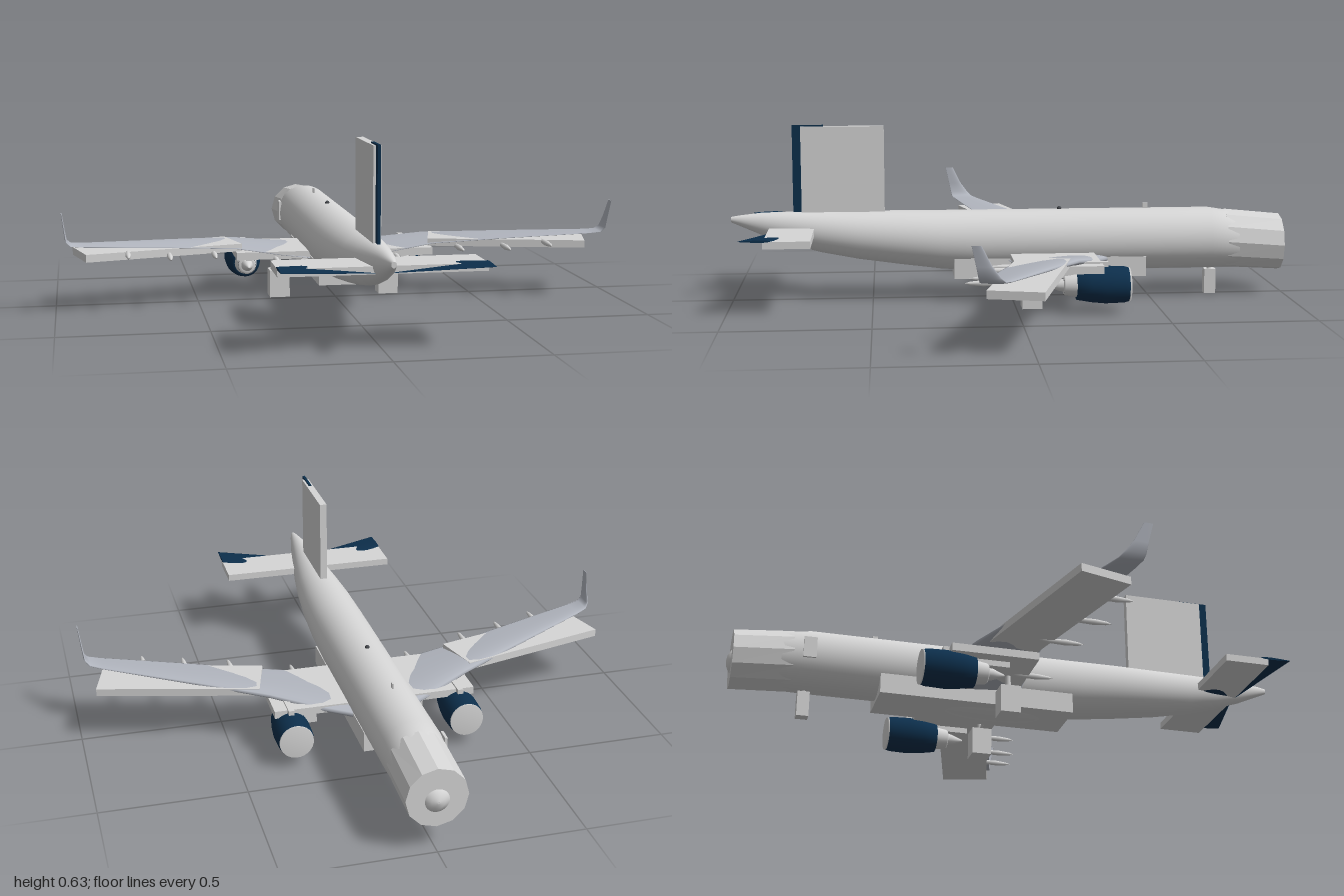
import * as THREE from 'three';

const mat = (name, color) => Object.assign(new THREE.MeshStandardMaterial({ color }), { name });

export function createModel() {
  const body = mat('light grey', 0xd6d6d6);
  const wingGrey = mat('wing grey', 0xb2b6bf);
  const navy = mat('navy', 0x0d2f4c);
  const dark = mat('dark grey', 0x45484d);
  const model = new THREE.Group();
  model.name = 'airliner';

  const add = (name, geo, material, x = 0, y = 0, z = 0) => {
    const m = new THREE.Mesh(geo, material);
    m.name = name;
    m.position.set(x, y, z);
    model.add(m);
    return m;
  };
  // Box given by its extents
  const box = (name, material, [x0, x1], [y0, y1], [z0, z1]) =>
    add(name, new THREE.BoxGeometry(Math.abs(x1 - x0), y1 - y0, z1 - z0), material,
      (x0 + x1) / 2, (y0 + y1) / 2, (z0 + z1) / 2);
  // Rod between two points
  const rod = (name, material, a, b, r) => {
    const p = new THREE.Vector3(...a), q = new THREE.Vector3(...b), d = q.clone().sub(p);
    const m = add(name, new THREE.CylinderGeometry(r, r, d.length(), 10), material);
    m.position.copy(p.add(q).multiplyScalar(0.5));
    m.quaternion.setFromUnitVectors(new THREE.Vector3(0, 1, 0), d.normalize());
  };
  // Skin over rings of points, with closed ends and outward faces
  const loft = (rings, flat = false) => {
    const n = rings[0].length, pos = rings.flat(2), idx = [];
    for (let i = 0; i < rings.length - 1; i++)
      for (let j = 0; j < n; j++) {
        const k = (j + 1) % n, a = i * n + j, b = i * n + k;
        idx.push(a, b, a + n, b, b + n, a + n);
      }
    const ends = [[rings[0], -1], [rings[rings.length - 1], 1]];
    for (const [ring, s] of ends) {
      const base = pos.length / 3;
      pos.push(...ring.flat());
      for (let j = 1; j < n - 1; j++)
        idx.push(base, ...(s > 0 ? [base + j, base + j + 1] : [base + j + 1, base + j]));
    }
    const v = (i) => new THREE.Vector3().fromArray(pos, i * 3);
    let volume = 0;
    for (let i = 0; i < idx.length; i += 3)
      volume += v(idx[i]).dot(v(idx[i + 1]).cross(v(idx[i + 2])));
    if (volume < 0) idx.reverse();
    let g = new THREE.BufferGeometry();
    g.setAttribute('position', new THREE.Float32BufferAttribute(pos, 3));
    g.setIndex(idx);
    if (flat) g = g.toNonIndexed();
    g.computeVertexNormals();
    return g;
  };
  const oval = (n) => ([z, y, rx, ry]) => Array.from({ length: n }, (_, i) => {
    const t = (i / n) * Math.PI * 2;
    return [Math.sin(t) * rx, y + Math.cos(t) * ry, z];
  });
  // Wing section: spanwise x, height, leading and trailing z, half thickness, lean of the normal
  const airfoil = (side) => ([x, y, z0, z1, h, lean = 0]) => Array.from({ length: 20 }, (_, i) => {
    const t = (i / 20) * Math.PI * 2, u = (1 - Math.cos(t)) / 2;
    const d = Math.sin(t) * h * (1.25 - u);
    return [side * (x - Math.sin(lean) * d), y + Math.cos(lean) * d, z0 + (z1 - z0) * u];
  });
  // Round body along z from [z, radius] points
  const turned = (pts, seg = 32) =>
    new THREE.LatheGeometry(pts.map(([z, r]) => new THREE.Vector2(r, z)), seg).rotateX(Math.PI / 2);

  // Fuselage, with the nose at -z
  add('fuselage', loft([
    [-1, 0.178, 0.004, 0.004], [-0.996, 0.178, 0.022, 0.022], [-0.984, 0.178, 0.042, 0.042],
    [-0.95, 0.181, 0.062, 0.06], [-0.9, 0.188, 0.082, 0.082], [-0.82, 0.2, 0.1, 0.102],
    [-0.72, 0.207, 0.105, 0.111], [-0.3, 0.207, 0.105, 0.111], [0.1, 0.207, 0.105, 0.111],
    [0.25, 0.212, 0.103, 0.106], [0.4, 0.222, 0.097, 0.097], [0.55, 0.232, 0.085, 0.086],
    [0.68, 0.245, 0.068, 0.074], [0.79, 0.26, 0.05, 0.059], [0.89, 0.276, 0.033, 0.041],
    [0.97, 0.289, 0.016, 0.019], [1, 0.293, 0.008, 0.01],
  ].map(oval(40))), body);
  add('noseSleeve', loft([[-0.78, 0.204, 0.103, 0.107], [-0.985, 0.188, 0.103, 0.103]].map(oval(12)), true), body);
  box('bellyFairing', body, [-0.095, 0.095], [0.083, 0.155], [-0.48, 0.21]);
  add('bellyBulge', new THREE.SphereGeometry(1, 28, 16).scale(0.085, 0.05, 0.26), body, 0, 0.12, -0.06);
  box('door', body, [-0.109, -0.1], [0.18, 0.255], [-0.75, -0.705]);
  box('antenna', body, [-0.003, 0.003], [0.31, 0.336], [-0.498, -0.48]);
  add('beacon', new THREE.SphereGeometry(0.008, 12, 8), dark, 0, 0.32, -0.175);

  // Fin and rudder
  box('fin', body, [-0.013, 0.013], [0.28, 0.624], [0.455, 0.75]);
  box('rudder', navy, [-0.005, 0.005], [0.3, 0.629], [0.67, 0.78]);

  // Nose gear
  box('noseGear', body, [-0.018, 0.018], [0, 0.09], [-0.752, -0.71]);
  rod('noseGearLeg', body, [0, 0.08, -0.73], [0, 0.14, -0.73], 0.009);

  for (const s of [1, -1]) {
    // Main wing with upturned tip
    add('wing', loft([
      [0.05, 0.142, -0.365, 0.02, 0.024], [0.2, 0.16, -0.29, 0.015, 0.02],
      [0.36, 0.188, -0.207, 0.02, 0.017], [0.6, 0.209, -0.085, 0.082, 0.011],
      [0.9, 0.232, 0.068, 0.161, 0.006], [0.945, 0.238, 0.092, 0.173, 0.005, 0.4],
      [0.96, 0.254, 0.108, 0.177, 0.004, 1.2], [0.965, 0.29, 0.135, 0.184, 0.003, 1.5],
      [0.973, 0.355, 0.168, 0.198, 0.002, 1.5],
    ].map(airfoil(s))), wingGrey);
    box('innerWingBox', body, [s * 0.08, s * 0.36], [0.145, 0.172], [-0.29, 0.01]);
    add('outerWingBox', new THREE.BoxGeometry(0.57, 0.027, 0.18), body, s * 0.64, 0.191, -0.01)
      .rotation.y = -s * 0.255;

    // Flap track fairings
    for (const [x, y, z] of [[0.22, 0.147, 0.1], [0.445, 0.178, 0.14], [0.605, 0.184, 0.185], [0.75, 0.198, 0.21]])
      add('flapFairing', turned([[-0.16, 0], [-0.12, 0.008], [-0.06, 0.01], [-0.02, 0.006], [0, 0]], 10), body, s * x, y, z);

    // Engine
    const ex = s * 0.305, ey = 0.097;
    add('nacelle', turned([[-0.385, 0.058], [-0.365, 0.063], [-0.3, 0.065], [-0.25, 0.06], [-0.2, 0.051], [-0.2, 0.036]]), navy, ex, ey);
    add('intakeFace', turned([[-0.386, 0], [-0.386, 0.059], [-0.38, 0.06]]), body, ex, ey);
    add('exhaust', turned([[-0.22, 0.044], [-0.16, 0.035], [-0.155, 0.03], [-0.155, 0.02]]), body, ex, ey);
    add('exhaustRing', turned([[-0.157, 0.033], [-0.157, 0]]), dark, ex, ey);
    add('exhaustPlug', turned([[-0.18, 0.024], [-0.14, 0.02], [-0.1, 0.005], [-0.095, 0]], 20), body, ex, ey);
    box('pylon', body, [ex - 0.01, ex + 0.01], [0.125, 0.178], [-0.31, -0.08]);

    // Main gear
    box('mainGear', body, [s * 0.165, s * 0.237], [0, 0.098], [-0.09, -0.02]);
    rod('mainGearLeg', body, [s * 0.2, 0.09, -0.055], [s * 0.2, 0.16, -0.055], 0.009);
    rod('mainGearBrace', body, [s * 0.19, 0.1, -0.055], [s * 0.09, 0.135, -0.055], 0.005);

    // Tailplane: pale box with a navy swept surface through it
    box('tailplaneBox', body, [s * 0.01, s * 0.33], [0.241, 0.266], [0.705, 0.865]);
    add('tailplane', loft([
      [0.01, 0.243, 0.69, 0.865, 0.01], [0.33, 0.268, 0.84, 0.95, 0.005],
    ].map(airfoil(s))), navy);
  }
  return model;
}
